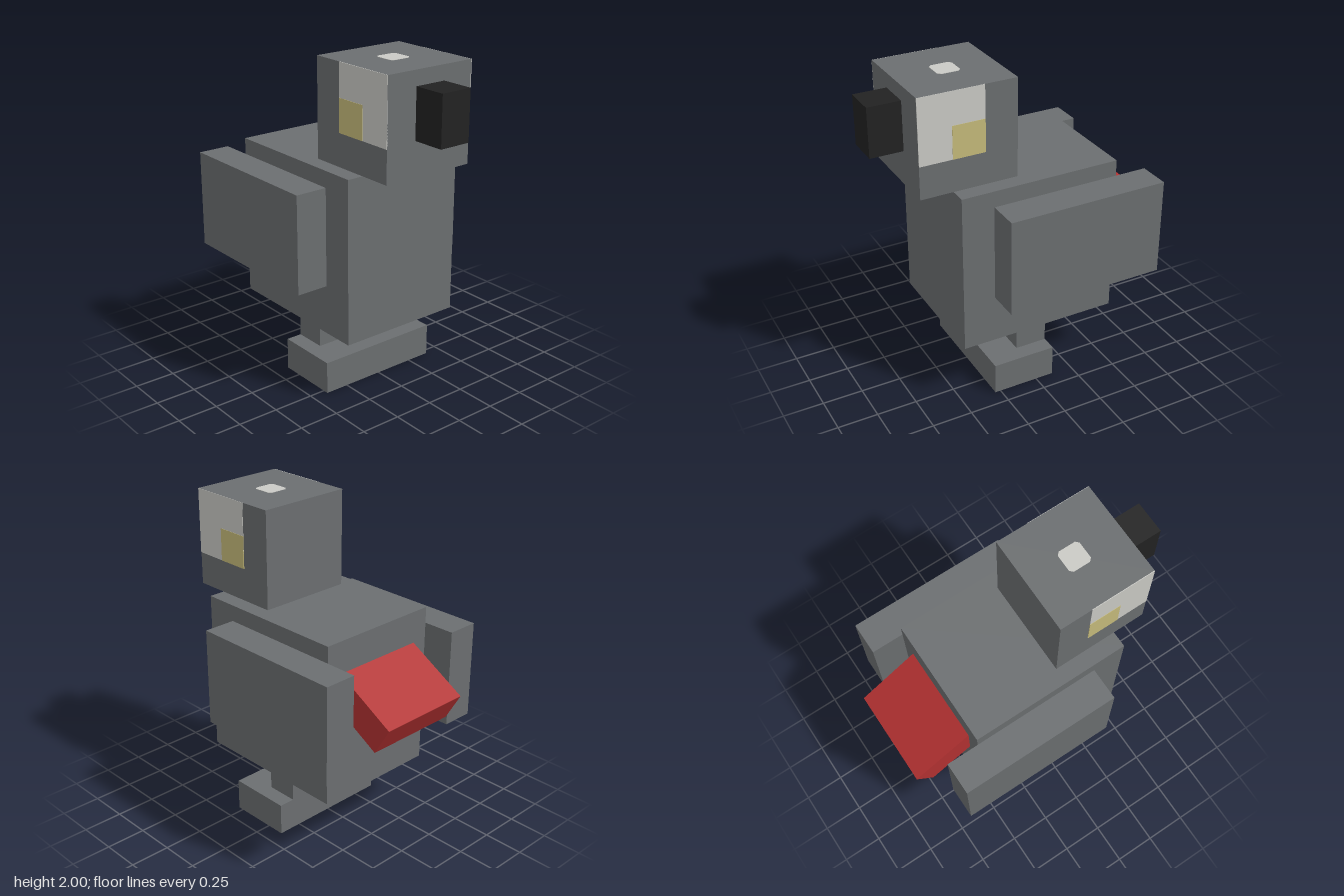
import * as THREE from 'three';

const mat = (name, color) => {
  const m = new THREE.MeshStandardMaterial({ color });
  m.name = name;
  return m;
};

export function createModel() {
  const model = new THREE.Group();
  model.name = 'blockBird';

  const grey = mat('feather grey', 0x6b6e70);
  const black = mat('beak black', 0x222222);
  const red = mat('tail red', 0xb23131);
  const white = mat('face white', 0xcacac5);
  const yellow = mat('eye yellow', 0xc6bb7b);

  // Box given by its size and centre
  const box = (name, material, [w, h, d], [x, y, z]) => {
    const mesh = new THREE.Mesh(new THREE.BoxGeometry(w, h, d), material);
    mesh.name = name;
    mesh.position.set(x, y, z);
    model.add(mesh);
    return mesh;
  };

  box('body', grey, [0.8, 1, 1], [0, 0.9, -0.015]);
  box('head', grey, [0.6, 0.6, 0.6], [0, 1.7, 0.385]);
  box('beak', black, [0.2, 0.3, 0.2], [0, 1.76, 0.785]);
  box('feet', grey, [0.8, 0.2, 0.4], [0, 0.1, 0.085]);

  // Paired parts
  for (const [side, s] of [['left', 1], ['right', -1]]) {
    box(side + 'Wing', grey, [0.2, 0.6, 1], [s * 0.5, 1, -0.215]);
    box(side + 'Leg', grey, [0.2, 0.2, 0.2], [s * 0.2, 0.3, -0.015]);
    box(side + 'FacePatch', white, [0.004, 0.4, 0.4], [s * 0.3, 1.8, 0.485]);
    box(side + 'Eye', yellow, [0.008, 0.2, 0.2], [s * 0.3, 1.7, 0.385]);
  }

  // Tail slab, sloping down and back out of the body
  const tail = box('tail', red, [0.6, 0.2, 0.6], [0, 1.053, -0.575]);
  tail.rotation.x = -Math.PI / 6;

  // Pale crown spot with clipped corners
  const a = 0.07, b = 0.052;
  const outline = [[a, b], [b, a], [-b, a], [-a, b], [-a, -b], [-b, -a], [b, -a], [a, -b]];
  const spot = new THREE.Mesh(
    new THREE.ExtrudeGeometry(new THREE.Shape(outline.map(p => new THREE.Vector2(...p))),
      { depth: 0.003, bevelEnabled: false }), white);
  spot.name = 'crownSpot';
  spot.rotation.x = -Math.PI / 2;
  spot.position.set(0, 1.999, 0.38);
  model.add(spot);

  return model;
}
